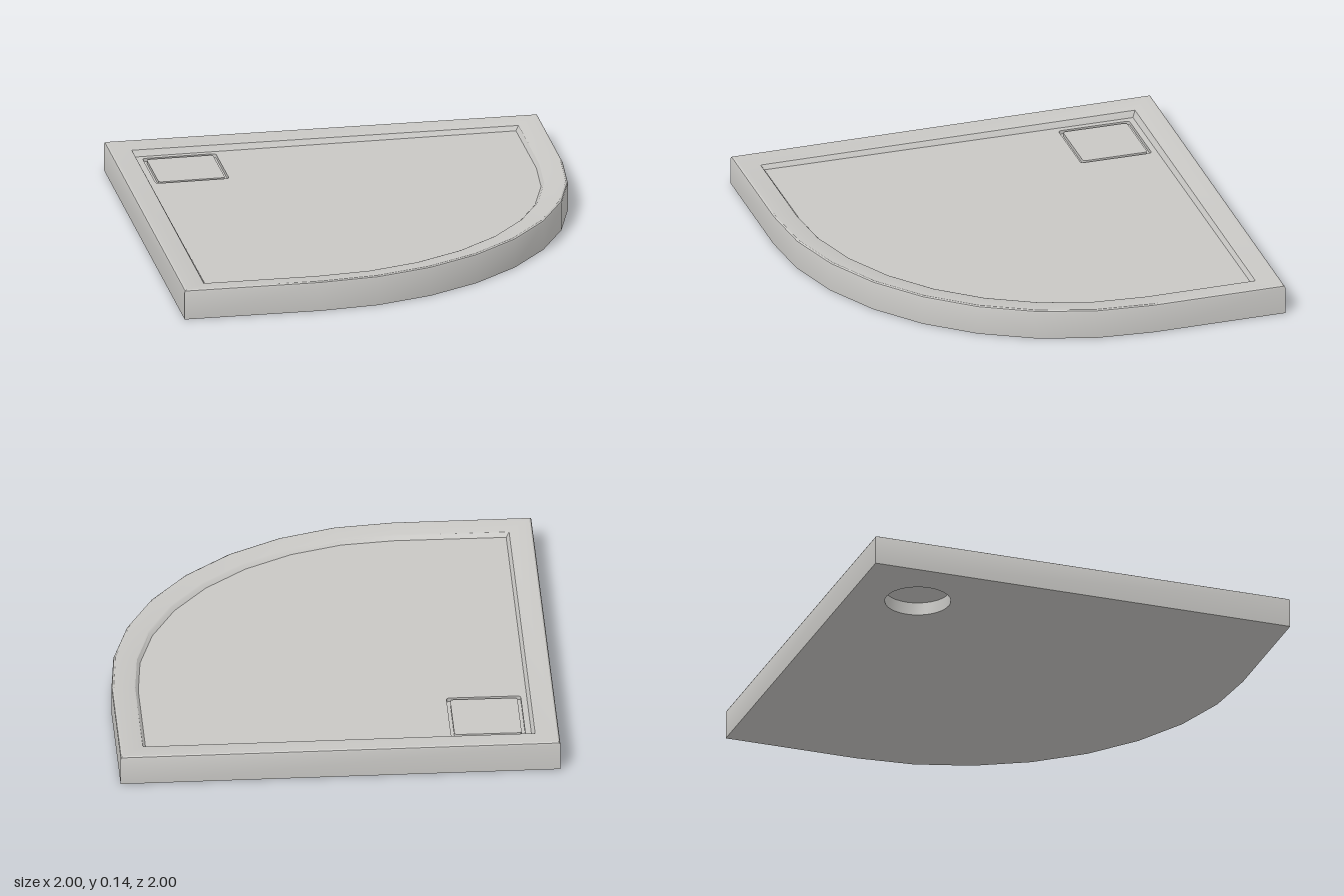
import * as THREE from 'three';
import { toCreasedNormals } from 'three/addons/utils/BufferGeometryUtils.js';

const CREASE = 0.5;
const DRAIN = -0.682;      // drain centre on both x and z
const ARC_CENTRE = -0.37;  // centre of the rounded front corner
const ARC_SEGMENTS = 8;

// The floor falls gently towards the drain corner
const floorY = (x, z) => 0.109 + 0.005 * (x + z);

// Quadrant outline moved inwards by d, as [x, z] points
function outline(d) {
  const e = 1 - d;
  const r = 1 - ARC_CENTRE - d;
  const pts = [[-e, -e], [e, -e]];
  for (let i = 0; i <= ARC_SEGMENTS; i++) {
    const a = (i / ARC_SEGMENTS) * Math.PI / 2;
    pts.push([ARC_CENTRE + r * Math.cos(a), ARC_CENTRE + r * Math.sin(a)]);
  }
  pts.push([-e, e]);
  return pts;
}

// Square with small rounded corners around the drain
function drainSquare(half, radius = 0.014) {
  const pts = [];
  const signs = [[1, 1], [-1, 1], [-1, -1], [1, -1]];
  signs.forEach(([sx, sz], q) => {
    for (let i = 0; i <= 3; i++) {
      const a = (q + i / 3) * Math.PI / 2;
      pts.push([
        DRAIN + sx * (half - radius) + radius * Math.cos(a),
        DRAIN + sz * (half - radius) + radius * Math.sin(a),
      ]);
    }
  });
  return pts;
}

function drainCircle(radius, n = 32) {
  return Array.from({ length: n }, (_, i) => {
    const a = (i / n) * Math.PI * 2;
    return [DRAIN + radius * Math.cos(a), DRAIN + radius * Math.sin(a)];
  });
}

// Lift a flat loop to a height, given as a number or a function of x and z
const lift = (loop, y) =>
  loop.map(([x, z]) => [x, typeof y === 'function' ? y(x, z) : y, z]);

// Skin closed loops that have equal point counts
function loft(loops) {
  const n = loops[0].length;
  const index = [];
  for (let r = 0; r < loops.length - 1; r++) {
    for (let i = 0; i < n; i++) {
      const j = (i + 1) % n;
      const a = r * n + i, b = r * n + j, c = a + n, d = b + n;
      index.push(a, c, b, b, c, d);
    }
  }
  const geo = new THREE.BufferGeometry();
  geo.setAttribute('position', new THREE.Float32BufferAttribute(loops.flat(2), 3));
  geo.setIndex(index);
  return toCreasedNormals(geo, CREASE);
}

// Flat sheet facing up or down, with an optional hole
function sheet(loop, hole, y, up) {
  const s = up ? -1 : 1;
  const toPoints = (pts) => pts.map(([x, z]) => new THREE.Vector2(x, s * z));
  const shape = new THREE.Shape(toPoints(loop));
  if (hole) shape.holes.push(new THREE.Path(toPoints(hole)));
  const geo = new THREE.ShapeGeometry(shape).rotateX(s * Math.PI / 2);
  const p = geo.attributes.position;
  for (let i = 0; i < p.count; i++) {
    p.setY(i, typeof y === 'function' ? y(p.getX(i), p.getZ(i)) : y);
  }
  geo.computeVertexNormals();
  return geo;
}

export function createModel() {
  const group = new THREE.Group();
  group.name = 'showerTray';
  const acrylic = new THREE.MeshStandardMaterial({ color: 0xc8c7c4 });
  acrylic.name = 'light grey acrylic';

  const add = (name, geometry) => {
    const mesh = new THREE.Mesh(geometry, acrylic);
    mesh.name = name;
    group.add(mesh);
  };

  // Outer wall, softened top edge, inward-sloping rim and inner step
  const profile = [
    [0, 0], [0, 0.129], [0.003, 0.136], [0.01, 0.14],
    [0.1, 0.132], [0.108, 0.129], [0.122, floorY],
  ];
  add('rim', loft(profile.map(([d, y]) => lift(outline(d), y))));

  // Sloping floor with the square drain recess cut out
  add('floor', sheet(outline(0.122), drainSquare(0.169), floorY, true));

  // Narrow groove around the drain cover, and the cover itself
  add('drainGroove', loft([
    lift(drainSquare(0.169), floorY),
    lift(drainSquare(0.169), 0.085),
    lift(drainSquare(0.153), 0.085),
  ]));
  add('drainCoverEdge', loft([
    lift(drainSquare(0.153), 0.085),
    lift(drainSquare(0.153), floorY),
  ]));
  add('drainCover', sheet(drainSquare(0.153), null, floorY, true));

  // Underside with the round waste opening
  const waste = drainCircle(0.15);
  add('underside', sheet(outline(0), waste, 0, false));
  add('wasteWall', loft([lift(waste, 0.06), lift(waste, 0)]));
  add('wasteCap', sheet(waste, null, 0.06, false));

  return group;
}
